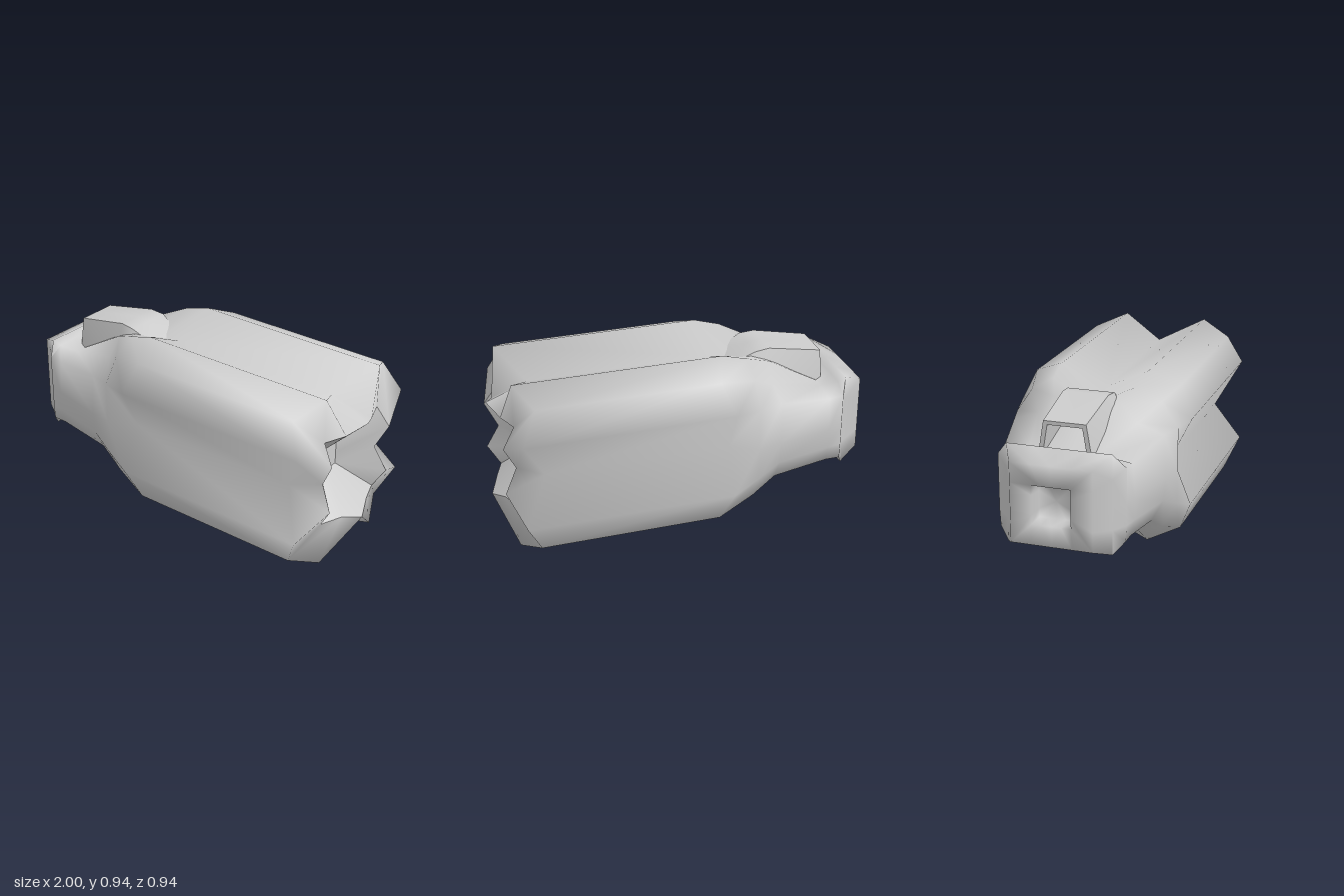
import * as THREE from 'three';
import { toCreasedNormals } from 'three/addons/utils/BufferGeometryUtils.js';

// Mirror a half outline of [z, y] points (top to bottom, +z side) into a closed ring at x.
// Each point may carry its own x offset as a third value.
function ring(x, half) {
  const n = half.length;
  const other = half.slice(1, n - 1).reverse().map(([z, y, dx]) => [-z, y, dx]);
  return half.concat(other).map(([z, y, dx = 0]) => new THREE.Vector3(x + dx, y, z));
}

// Skin a row of equal-sized rings, ordered from +x towards -x on the outside.
function loft(rings, crease) {
  const pos = [];
  const tri = (a, b, c) => {
    const area = b.clone().sub(a).cross(c.clone().sub(a)).length();
    if (area > 1e-7) for (const v of [a, b, c]) pos.push(v.x, v.y, v.z);
  };
  for (let i = 0; i < rings.length - 1; i++) {
    const r = rings[i], s = rings[i + 1], n = r.length;
    for (let j = 0; j < n; j++) {
      const k = (j + 1) % n;
      // diagonals mirror across the centre plane
      if (j < n / 2) {
        tri(r[j], s[j], r[k]);
        tri(s[j], s[k], r[k]);
      } else {
        tri(r[j], s[j], s[k]);
        tri(r[j], s[k], r[k]);
      }
    }
  }
  const geo = new THREE.BufferGeometry();
  geo.setAttribute('position', new THREE.Float32BufferAttribute(pos, 3));
  return toCreasedNormals(geo, crease);
}

const MID = 0.47;

// Complete an upper half outline by mirroring it about mid height.
function mirrored(upper) {
  const lower = upper.slice(0, -1).reverse().map(([z, y, dx]) => [z, 2 * MID - y, dx]);
  return upper.concat(lower);
}

// Squared outline with half width w and half height h
const square = (w, h) => mirrored(
  [[0, MID + h], [w / 2, MID + h], [w, MID + h], [w, MID + h / 2], [w, MID]]);

export function createModel() {
  const group = new THREE.Group();
  const material = new THREE.MeshStandardMaterial({ color: 0xcccccc, side: THREE.DoubleSide });
  const add = (name, geometry) => {
    const mesh = new THREE.Mesh(geometry, material);
    mesh.name = name;
    group.add(mesh);
  };

  // Four-lobed outline; notches and lobe corners can be shifted along x
  const lobes = (notch, corner, side) => mirrored(
    [[0, 0.83, notch], [0.235, 0.94], [0.4, 0.87, corner], [0.47, 0.705], [side, MID, notch]]);

  // Zigzag nozzle rim
  const rim = ring(0.905, mirrored(
    [[0, 0.743, 0.095], [0.115, 0.705, 0.045], [0.235, 0.705], [0.26, 0.6, 0.065], [0.235, MID]]));
  const point = Array(9).fill([0, MID]);

  // Nozzle cavity: star-shaped walls down to a small square floor
  const floor = mirrored(
    [[0, 0.535], [0.065, 0.535], [0.065, 0.535], [0.065, 0.535], [0.065, MID]]);
  add('nozzleCavity', loft([ring(0.78, point), ring(0.78, floor), rim], 0.6));

  // Hull: rim, lobed body, boxy sloping neck, square collar and nose socket
  add('hull', loft([
    rim,
    ring(0.905, lobes(-0.125, -0.08, 0.345)),
    ring(-0.2, lobes(0, 0.06, 0.355)),
    ring(-0.34, [[0, 0.81], [0.23, 0.9], [0.35, 0.83], [0.437, 0.7], [0.437, MID],
      [0.435, 0.29], [0.36, 0.15], [0.23, 0.11], [0, 0.17]]),
    ring(-0.47, [[0, 0.81], [0.18, 0.845], [0.265, 0.75], [0.4, 0.7], [0.412, MID],
      [0.4, 0.35], [0.34, 0.235], [0.2, 0.215], [0, 0.215]]),
    ring(-0.77, [[0, 0.665], [0.15, 0.67], [0.2, 0.665], [0.335, 0.65], [0.347, MID],
      [0.345, 0.36], [0.325, 0.275], [0.15, 0.275], [0, 0.275]]),
    ring(-0.85, [[0, 0.705], [0.15, 0.705], [0.25, 0.7], [0.33, 0.655], [0.33, MID],
      [0.33, 0.36], [0.325, 0.275], [0.16, 0.24], [0, 0.24]]),
    ring(-0.885, square(0.27, 0.258)),
    ring(-1, square(0.21, 0.207)),
    ring(-1, square(0.1, 0.1)),
    ring(-0.92, square(0.09, 0.09)),
    ring(-0.92, point),
  ], 1.9));

  // Scoop: tapered hood on the neck, open towards the nose
  const hood = (top, topHalf, bottom, bottomHalf) =>
    [[0, top], [topHalf, top], [bottomHalf, bottom], [0, bottom]];
  const dot = Array(4).fill([0, 0.74]);
  add('scoop', loft([
    ring(-0.28, hood(0.81, 0.1, 0.74, 0.14)),
    ring(-0.42, hood(0.88, 0.125, 0.72, 0.19)),
    ring(-0.5, hood(0.888, 0.12, 0.68, 0.185)),
    ring(-0.8, hood(0.83, 0.11, 0.65, 0.14)),
    ring(-0.8, hood(0.81, 0.09, 0.66, 0.115)),
    ring(-0.6, hood(0.83, 0.07, 0.68, 0.09)),
    ring(-0.6, dot),
  ], 0.7));

  return group;
}
